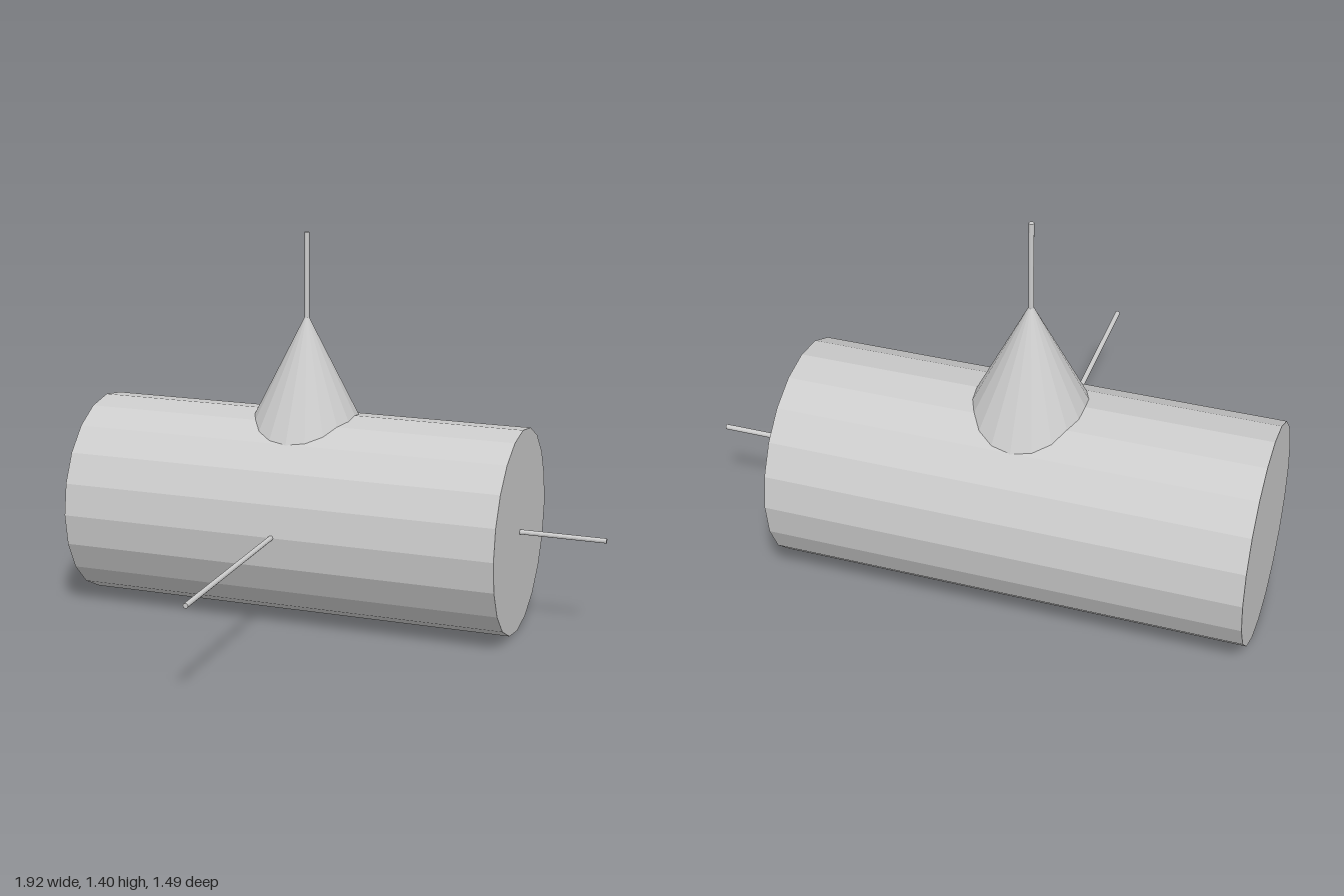
import * as THREE from 'three';

const CENTER = new THREE.Vector3(-0.195, 0.375, -0.435);
const RADIUS = 0.372;
const SIDES = 20;

export function createModel() {
  const model = new THREE.Group();
  const material = new THREE.MeshStandardMaterial({ color: 0xcccccc, flatShading: true });

  const add = (name, geometry, position) => {
    const mesh = new THREE.Mesh(geometry, material);
    mesh.name = name;
    mesh.position.copy(position);
    model.add(mesh);
    return mesh;
  };

  // Horizontal faceted cylinder lying along x
  const body = new THREE.CylinderGeometry(RADIUS, RADIUS, 1.61, SIDES).rotateZ(-Math.PI / 2);
  add('cylinder', body, new THREE.Vector3(-0.195, CENTER.y, CENTER.z));

  // Upright cone, its base buried at the cylinder's axis
  const coneHeight = 0.737;
  const cone = new THREE.ConeGeometry(RADIUS, coneHeight, SIDES, 1, true).translate(0, coneHeight / 2, 0);
  add('cone', cone, CENTER);

  // Thin axis rods radiating from the shared centre
  const rods = [
    ['frontRod', new THREE.Vector3(0, 0, 1), 1.115],
    ['sideRod', new THREE.Vector3(1, 0, 0), 1.115],
    ['topRod', new THREE.Vector3(0, 1, 0), 1.027],
  ];
  const up = new THREE.Vector3(0, 1, 0);
  for (const [name, direction, length] of rods) {
    const rod = new THREE.CylinderGeometry(0.009, 0.009, length, 12).translate(0, length / 2, 0);
    add(name, rod, CENTER).quaternion.setFromUnitVectors(up, direction);
  }

  return model;
}
